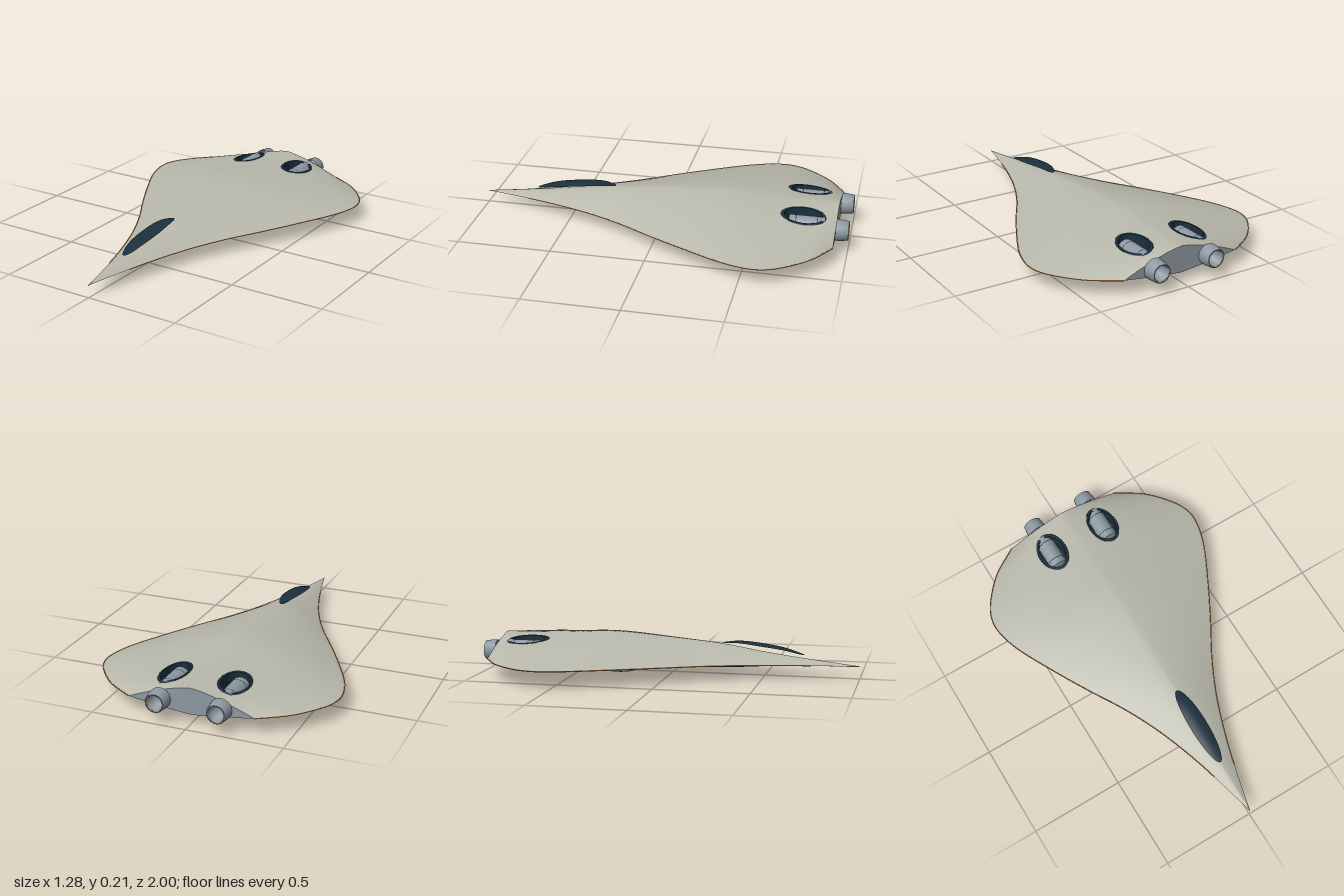
import * as THREE from 'three';

const material = (name, color, side = THREE.FrontSide) => {
  const m = new THREE.MeshStandardMaterial({ color, side });
  m.name = name;
  return m;
};

// Smooth interpolation through [z, value] pairs listed from nose to tail
function profile(points) {
  const n = points.length - 1;
  const slope = i => {
    const a = points[Math.max(0, i - 1)], b = points[Math.min(n, i + 1)];
    return (b[1] - a[1]) / (b[0] - a[0]);
  };
  return z => {
    let i = 0;
    while (i < n - 1 && z < points[i + 1][0]) i++;
    const [z0, v0] = points[i], [z1, v1] = points[i + 1], d = z1 - z0;
    const s = THREE.MathUtils.clamp((z - z0) / d, 0, 1), s2 = s * s, s3 = s2 * s;
    return v0 * (2 * s3 - 3 * s2 + 1) + v1 * (3 * s2 - 2 * s3)
      + d * (slope(i) * (s3 - 2 * s2 + s) + slope(i + 1) * (s3 - s2));
  };
}

const NOSE = 1, TAIL = -0.935;
const halfWidth = profile([[1, 0.001], [0.8, 0.05], [0.62, 0.1], [0.4, 0.178], [0.2, 0.272], [0, 0.388],
  [-0.2, 0.497], [-0.4, 0.595], [-0.53, 0.632], [-0.61, 0.632], [-0.7, 0.595], [-0.84, 0.476], [TAIL, 0.33]]);
const edgeY = profile([[1, 0.065], [0.5, 0.077], [0, 0.087], [-0.4, 0.092], [TAIL, 0.09]]);
const topY = profile([[1, 0.067], [0.7, 0.1], [0.5, 0.126], [0.27, 0.162], [0, 0.187], [-0.33, 0.208],
  [-0.6, 0.195], [-0.8, 0.19], [TAIL, 0.19]]);
const bottomY = profile([[1, 0.063], [0.6, 0.058], [0.4, 0.042], [0, 0.029], [-0.3, 0.024], [-0.7, 0.036], [TAIL, 0.05]]);

const bulge = (x, z, power) => 1 - Math.min(1, Math.abs(x) / halfWidth(z)) ** power;
const upper = (x, z) => edgeY(z) + (topY(z) - edgeY(z)) * bulge(x, z, 1.4);
const lower = (x, z) => edgeY(z) + (bottomY(z) - edgeY(z)) * bulge(x, z, 1.2);

// Grid surface from a point rule; skip(x, z) leaves openings
function surface(rows, cols, point, { flip = false, skip = null } = {}) {
  const pos = [], index = [];
  for (let i = 0; i <= rows; i++)
    for (let j = 0; j <= cols; j++) pos.push(...point(i / rows, j / cols));
  const tri = (a, b, c) => {
    const mid = k => (pos[a * 3 + k] + pos[b * 3 + k] + pos[c * 3 + k]) / 3;
    if (skip && skip(mid(0), mid(2))) return;
    index.push(a, ...(flip ? [c, b] : [b, c]));
  };
  for (let i = 0; i < rows; i++)
    for (let j = 0; j < cols; j++) {
      const a = i * (cols + 1) + j, c = a + cols + 1;
      tri(a, a + 1, c);
      tri(a + 1, c + 1, c);
    }
  const g = new THREE.BufferGeometry();
  g.setAttribute('position', new THREE.Float32BufferAttribute(pos, 3));
  g.setIndex(index);
  g.computeVertexNormals();
  return g;
}

// Engine openings
const BAY = { x: 0.16, z: -0.763, rx: 0.077, rz: 0.115 };
const inBay = (x, z) => Math.hypot((Math.abs(x) - BAY.x) / BAY.rx, (z - BAY.z) / BAY.rz) < 0.93;

export function createModel() {
  const hull = material('warm grey hull', 0xb8b8ac);
  const belly = material('grey belly', 0x7f8a90);
  const steel = material('blue grey steel', 0x8c98a1, THREE.DoubleSide);
  const glass = material('dark blue glass', 0x1b303d, THREE.DoubleSide);
  const amber = material('amber edge', 0xc4863c);

  const model = new THREE.Group();
  const add = (name, geometry, mat, parent = model) => {
    const mesh = new THREE.Mesh(geometry, mat);
    mesh.name = name;
    parent.add(mesh);
    return mesh;
  };

  // Blended body: upper and lower skins meet in a sharp edge
  const skin = height => (u, v) => {
    const z = NOSE + (TAIL - NOSE) * u, x = (v * 2 - 1) * halfWidth(z);
    return [x, height(x, z), z];
  };
  add('upperHull', surface(240, 150, skin(upper), { skip: inBay }), hull);
  add('lowerHull', surface(80, 50, skin(lower), { flip: true }), belly);

  // Flat stern closing the body
  const outline = [];
  const w = halfWidth(TAIL);
  for (let i = -20; i <= 20; i++) outline.push(new THREE.Vector2(w * i / 20, upper(w * i / 20, TAIL)));
  for (let i = 19; i > -20; i--) outline.push(new THREE.Vector2(w * i / 20, lower(w * i / 20, TAIL)));
  const stern = add('stern', new THREE.ShapeGeometry(new THREE.Shape(outline)), steel);
  stern.rotation.y = Math.PI;
  stern.position.z = TAIL;

  // Thin trim along the wing edges
  for (const side of [-1, 1]) {
    const path = [];
    for (let i = 0; i <= 40; i++) {
      const z = 0.75 + (TAIL - 0.75) * i / 40;
      path.push(new THREE.Vector3(side * halfWidth(z), edgeY(z), z));
    }
    add('edgeTrim', new THREE.TubeGeometry(new THREE.CatmullRomCurve3(path), 80, 0.0028, 6), amber);
  }

  // Raised canopy shell, an arched ellipse above the nose
  const canopyY = profile([[0.71, 0.116], [0.6, 0.151], [0.45, 0.174], [0.35, 0.179], [0.27, 0.168]]);
  add('canopy', surface(32, 12, (u, v) => {
    const c = Math.cos(u * Math.PI), z = 0.49 + 0.22 * c, t = v * 2 - 1;
    return [t * 0.046 * Math.sqrt(Math.max(0, 1 - c * c)), canopyY(z) - 0.01 * t * t * (1 - c * c), z];
  }), glass);

  // Engines: recessed bay, pod and open nozzle
  const wall = [[1.03, 0.001], [1, 0.003], [0.86, 0.003], [0.86, null], [0, null]];
  for (const side of [-1, 1]) {
    const engine = new THREE.Group();
    engine.name = side > 0 ? 'leftEngine' : 'rightEngine';
    model.add(engine);

    add('engineBay', surface(wall.length - 1, 48, (u, v) => {
      const [s, lift] = wall[Math.round(u * (wall.length - 1))], a = v * Math.PI * 2;
      const x = side * BAY.x + BAY.rx * s * Math.cos(a), z = BAY.z + BAY.rz * s * Math.sin(a);
      return [x, lift === null ? 0.1 : upper(x, z) + lift, z];
    }).toNonIndexed(), glass, engine).geometry.computeVertexNormals();

    const pod = add('enginePod', new THREE.CylinderGeometry(0.048, 0.048, 0.185, 32), steel, engine);
    pod.rotation.x = Math.PI / 2;
    pod.position.set(side * BAY.x, 0.122, -0.783);
    for (const z of [-0.727, -0.838]) {
      const band = add('podBand', new THREE.CylinderGeometry(0.049, 0.049, 0.004, 32, 1, true), glass, engine);
      band.rotation.x = Math.PI / 2;
      band.position.set(side * BAY.x, 0.122, z);
    }

    const bell = [[0, 0.006], [0.034, 0.006], [0.041, 0.065], [0.05, 0.065], [0.056, 0.015], [0.056, 0]]
      .map(p => new THREE.Vector2(...p));
    const nozzle = add('nozzle', new THREE.LatheGeometry(bell, 32), steel, engine);
    nozzle.rotation.x = -Math.PI / 2;
    nozzle.position.set(side * BAY.x, 0.11, TAIL);
    add('nozzleRing', new THREE.TorusGeometry(0.042, 0.002, 6, 32), amber, engine)
      .position.set(side * BAY.x, 0.11, -0.998);
  }

  // Round hollow port under the belly
  const port = new THREE.Group();
  port.name = 'bellyPort';
  port.position.z = -0.29;
  model.add(port);
  const ring = [[0, 0.026], [0.058, 0.026], [0.072, 0.002], [0.086, 0.002], [0.095, 0.008], [0.093, 0.018], [0.085, 0.022]]
    .map(p => new THREE.Vector2(...p));
  add('portRing', new THREE.LatheGeometry(ring, 40), steel, port);
  add('portCollar', new THREE.CylinderGeometry(0.1, 0.09, 0.018, 40, 1, true), glass, port).position.y = 0.029;
  add('portLip', new THREE.TorusGeometry(0.078, 0.003, 8, 40).rotateX(Math.PI / 2), glass, port).position.y = 0.003;

  return model;
}
